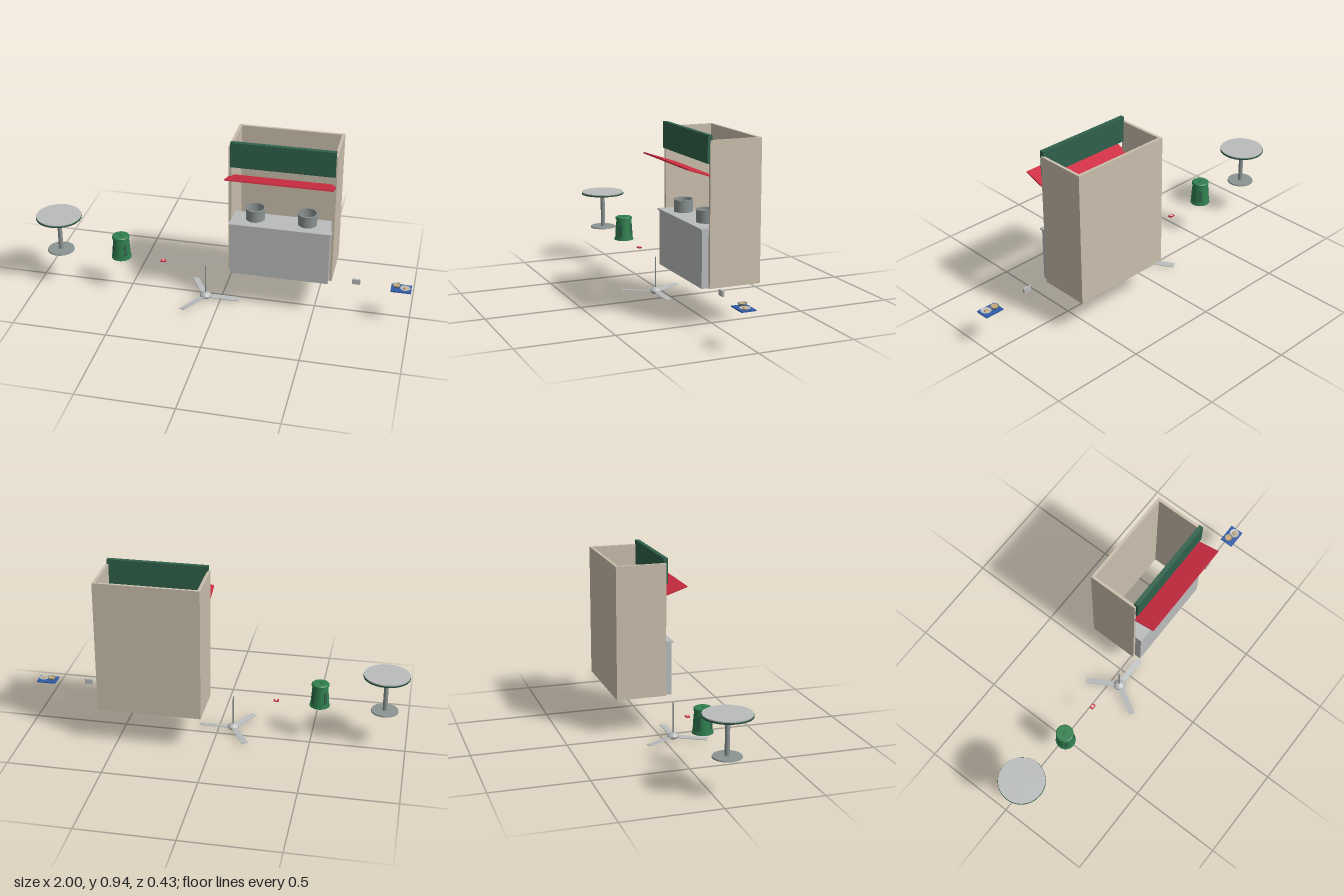
import * as THREE from 'three';

const mat = (name, color) => {
  const m = new THREE.MeshStandardMaterial({ color, side: THREE.DoubleSide });
  m.name = name;
  return m;
};

export function createModel() {
  const wall = mat('beige wall', 0xcbbfad);
  const steel = mat('light steel', 0xbabdbd);
  const darkSteel = mat('dark steel', 0x8c9494);
  const signGreen = mat('dark green', 0x2f614b);
  const green = mat('stool green', 0x2f7f4e);
  const red = mat('red', 0xcf2d42);
  const white = mat('white', 0xeeeae4);
  const blue = mat('tray blue', 0x2f5ba8);
  const tan = mat('food tan', 0xc9a878);

  const root = new THREE.Group();
  const GROUND = 0.2, Z = 0.052;

  const group = (name, x = 0, y = 0, z = 0) => {
    const g = new THREE.Group();
    g.name = name;
    g.position.set(x, y, z);
    root.add(g);
    return g;
  };
  const add = (parent, name, geo, material, x = 0, y = 0, z = 0) => {
    const m = new THREE.Mesh(geo, material);
    m.name = name;
    m.position.set(x, y, z);
    parent.add(m);
    return m;
  };
  // box given by its extents on each axis
  const slab = (parent, name, material, x0, x1, y0, y1, z0, z1) =>
    add(parent, name, new THREE.BoxGeometry(x1 - x0, y1 - y0, z1 - z0), material,
      (x0 + x1) / 2, (y0 + y1) / 2, (z0 + z1) / 2);
  // upright cylinder between two heights
  const disc = (parent, name, material, rBottom, rTop, y0, y1, x = 0, z = 0, sides = 40) =>
    add(parent, name, new THREE.CylinderGeometry(rTop, rBottom, y1 - y0, sides), material, x, (y0 + y1) / 2, z);
  const lathe = (parent, name, material, pts, x = 0, z = 0) =>
    add(parent, name, new THREE.LatheGeometry(pts.map(p => new THREE.Vector2(...p)), 36), material, x, 0, z);

  // Round table
  const table = group('table', -0.88, GROUND, Z);
  disc(table, 'tableBase', darkSteel, 0.072, 0.07, 0, 0.007);
  disc(table, 'tablePost', darkSteel, 0.012, 0.012, 0.007, 0.2);
  disc(table, 'tableTop', steel, 0.119, 0.119, 0.201, 0.212, 0, 0, 48);
  lathe(table, 'tableRim', signGreen,
    [[0.112, 0.199], [0.121, 0.199], [0.121, 0.207], [0.119, 0.207]]);

  // Plastic stool with four side slots
  const stool = group('stool', -0.54, GROUND, Z);
  disc(stool, 'stoolFoot', green, 0.053, 0.052, 0, 0.01);
  disc(stool, 'stoolBody', green, 0.049, 0.041, 0.01, 0.12);
  disc(stool, 'stoolSeat', green, 0.046, 0.046, 0.116, 0.126);
  disc(stool, 'stoolSeatTop', green, 0.046, 0.041, 0.126, 0.13);
  slab(stool, 'seatSlot', signGreen, -0.012, 0.012, 0.13, 0.131, -0.003, 0.003);
  for (let i = 0; i < 4; i++) {
    const pivot = new THREE.Group();
    pivot.name = 'stoolSlot';
    pivot.rotation.y = Math.PI / 4 + i * Math.PI / 2;
    const plate = slab(pivot, 'slotPlate', signGreen, -0.009, 0.009, 0.025, 0.09, 0.042, 0.047);
    plate.rotation.x = -0.07;
    stool.add(pivot);
  }

  // Small packet
  const packet = group('packet', -0.31, GROUND, Z);
  slab(packet, 'packetBox', red, -0.014, 0.014, 0, 0.006, -0.01, 0.01);
  slab(packet, 'packetLabel', white, -0.006, 0.006, 0.006, 0.0068, -0.006, 0.006);

  // Ceiling fan
  const fan = group('ceilingFan', -0.08, 0, Z);
  lathe(fan, 'fanHub', steel, [[0, 0], [0.012, 0.002], [0.024, 0.008], [0.031, 0.017],
    [0.028, 0.025], [0.018, 0.033], [0.008, 0.038], [0, 0.039]]);
  disc(fan, 'fanRod', darkSteel, 0.0035, 0.0035, 0.036, 0.203, 0, 0, 12);
  for (let i = 0; i < 3; i++) {
    const arm = new THREE.Group();
    arm.name = 'fanArm';
    arm.rotation.y = i * Math.PI * 2 / 3;
    const blade = slab(arm, 'fanBlade', steel, 0.02, 0.182, 0.0155, 0.0185, -0.016, 0.016);
    blade.rotation.x = 0.13;
    fan.add(arm);
  }

  // Food stall: three walls, open front, top and bottom
  const stall = group('stall');
  slab(stall, 'rightWall', wall, 0.043, 0.058, GROUND, 0.915, -0.217, 0.052);
  slab(stall, 'leftWall', wall, 0.575, 0.59, GROUND, 0.915, -0.217, 0.052);
  slab(stall, 'backWall', wall, 0.058, 0.575, GROUND, 0.915, -0.217, -0.202);
  slab(stall, 'counter', steel, 0.059, 0.574, GROUND, 0.487, -0.045, 0.087);
  slab(stall, 'counterTop', steel, 0.052, 0.581, 0.487, 0.495, -0.053, 0.095);
  slab(stall, 'signBoard', signGreen, 0.053, 0.583, 0.805, 0.94, 0.041, 0.064);
  const awning = slab(stall, 'awning', red, 0.046, 0.588, 0.754, 0.761, -0.005, 0.172);
  awning.rotation.x = -0.32;

  // Open cooking pots
  for (const x of [0.175, 0.446]) {
    lathe(stall, 'pot', darkSteel, [[0, 0.496], [0.049, 0.496], [0.049, 0.496], [0.049, 0.556],
      [0.051, 0.557], [0.051, 0.56], [0.045, 0.56], [0.045, 0.56], [0.045, 0.5], [0.045, 0.5], [0, 0.5]], x, 0.005);
  }

  // Standing card
  const card = group('card', 0.717, GROUND, Z);
  slab(card, 'cardPlate', steel, -0.021, 0.021, 0, 0.028, -0.005, 0.005);

  // Meal tray with bowl and plate
  const tray = group('mealTray', 0.948, GROUND, Z);
  slab(tray, 'trayBase', blue, -0.052, 0.052, 0, 0.006, -0.037, 0.037);
  lathe(tray, 'bowl', darkSteel, [[0, 0.006], [0.012, 0.006], [0.017, 0.013], [0.022, 0.022],
    [0.019, 0.022], [0.014, 0.014]], -0.024, -0.005);
  disc(tray, 'bowlFood', tan, 0.015, 0.018, 0.013, 0.019, -0.024, -0.005);
  lathe(tray, 'plate', steel, [[0, 0.007], [0.018, 0.007], [0.027, 0.012], [0.025, 0.0125],
    [0.016, 0.009], [0, 0.009]], 0.021, 0.004);
  disc(tray, 'plateFood', tan, 0.012, 0.008, 0.009, 0.016, 0.021, 0.004);

  return root;
}
